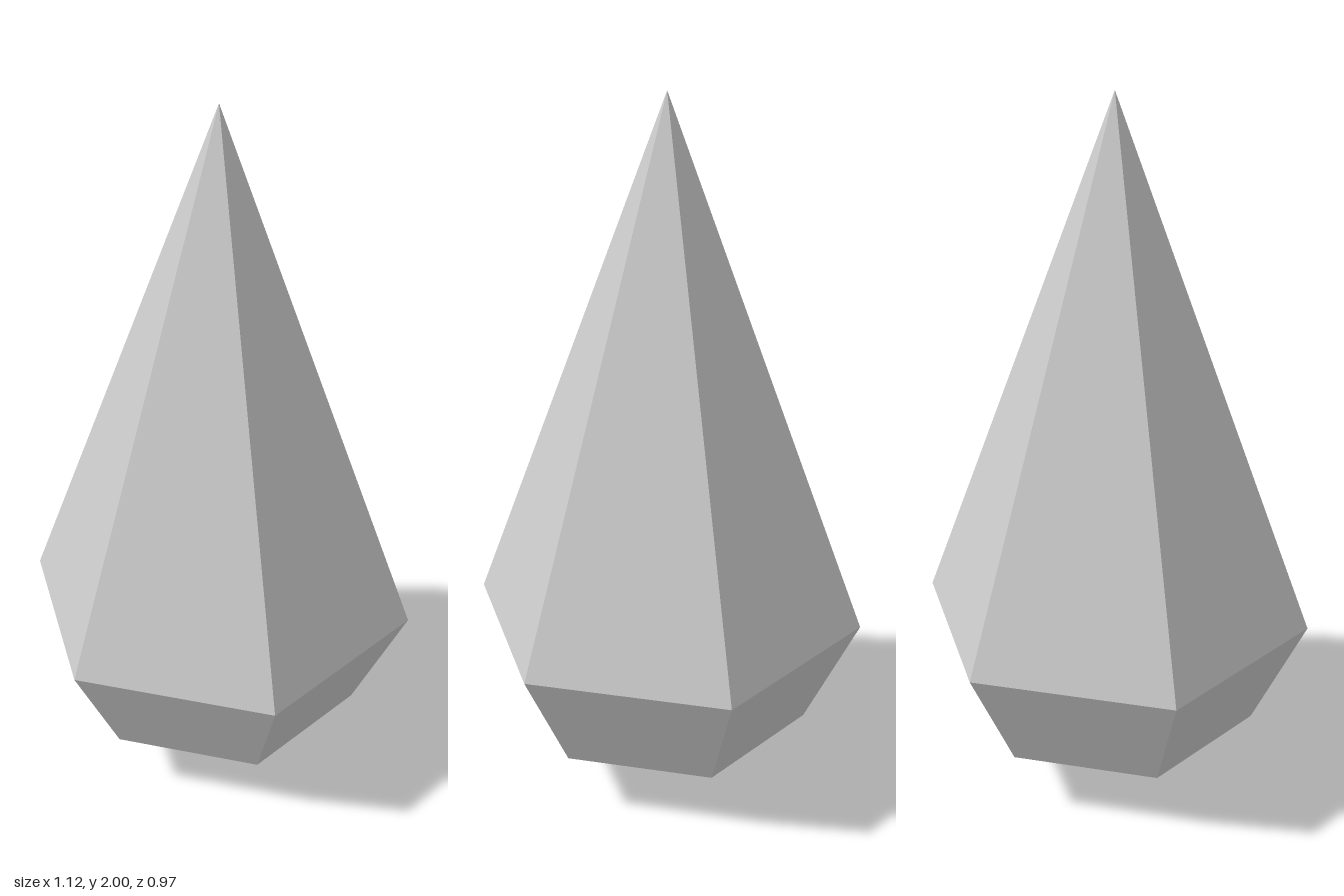
import * as THREE from 'three';

// Six-sided faceted crystal, described by its profile from bottom tip to top tip
export function createModel() {
  const profile = [
    [0, 0],        // bottom tip
    [0.41, 0.2],   // lower girdle
    [0.56, 0.52],  // widest girdle
    [0, 2],        // top tip
  ].map(([r, y]) => new THREE.Vector2(r, y));

  // Start at 30 degrees so that two corners lie on the x axis
  const geometry = new THREE.LatheGeometry(profile, 6, Math.PI / 6);
  const material = new THREE.MeshStandardMaterial({ color: 0xcccccc, flatShading: true });

  const crystal = new THREE.Mesh(geometry, material);
  crystal.name = 'crystal';

  const model = new THREE.Group();
  model.name = 'facetedCrystal';
  model.add(crystal);
  return model;
}
